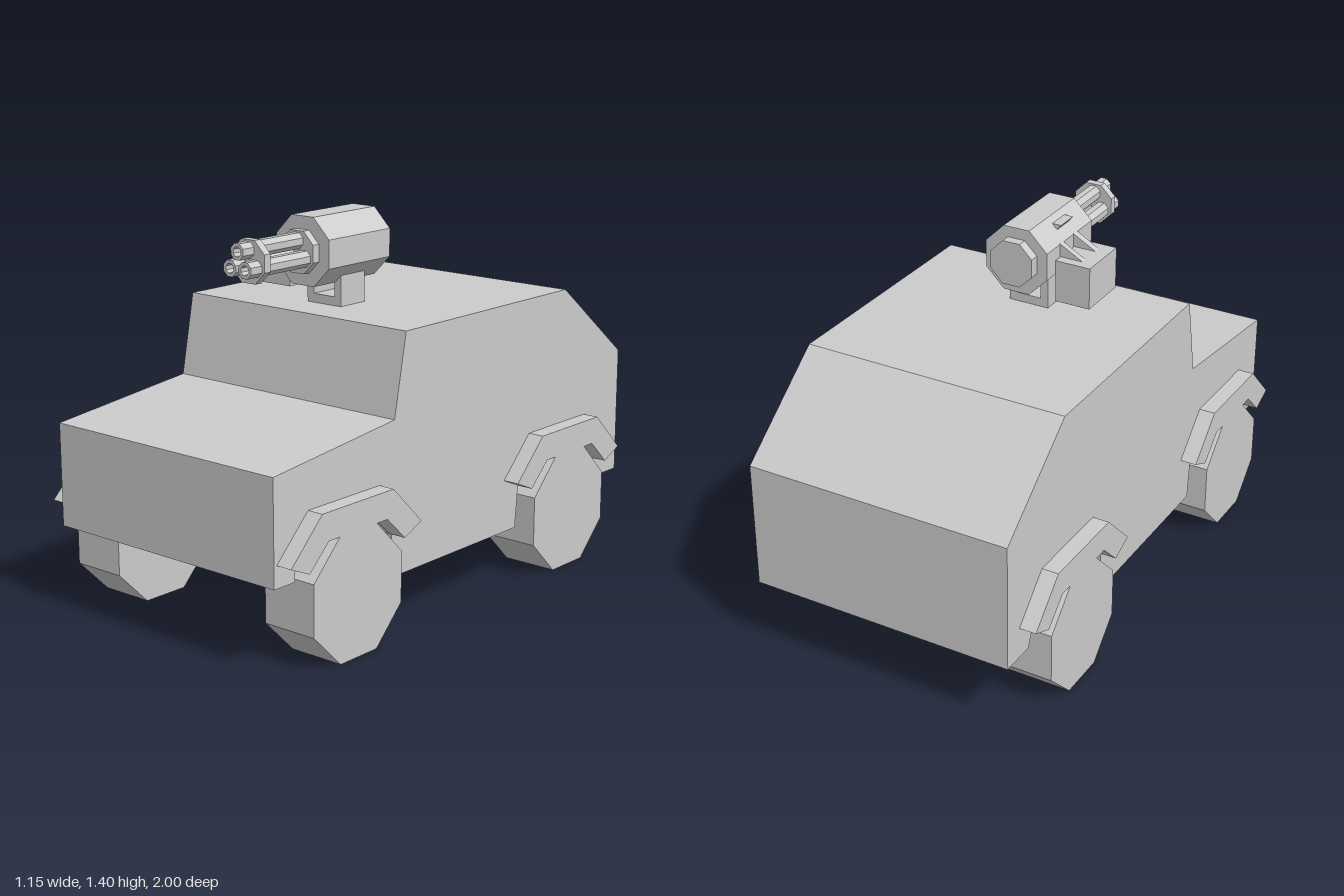
import * as THREE from 'three';

const material = new THREE.MeshStandardMaterial({ color: 0xcccccc, flatShading: true });

function add(parent, name, geometry) {
  const mesh = new THREE.Mesh(geometry, material);
  mesh.name = name;
  parent.add(mesh);
  return mesh;
}

function shapeOf(points) {
  return new THREE.Shape(points.map(([a, b]) => new THREE.Vector2(a, b)));
}

// Side profile given as (z, y), extruded across x from x0 to x1
function sideSlab(points, x0, x1) {
  return new THREE.ExtrudeGeometry(shapeOf(points), { depth: x1 - x0, bevelEnabled: false })
    .rotateY(-Math.PI / 2)
    .translate(x1, 0, 0);
}

// Front profile given as (x, y), extruded along z from z0 to z1
function frontSlab(points, z0, z1, hole) {
  const shape = shapeOf(points);
  if (hole) shape.holes.push(new THREE.Path(hole.map(([a, b]) => new THREE.Vector2(a, b))));
  return new THREE.ExtrudeGeometry(shape, { depth: z1 - z0, bevelEnabled: false }).translate(0, 0, z0);
}

// Octagon with flat top; r is the distance from centre to a flat
function octagon(cx, cy, r) {
  const R = r / Math.cos(Math.PI / 8);
  return Array.from({ length: 8 }, (_, i) => {
    const a = Math.PI / 8 + i * Math.PI / 4;
    return [cx + R * Math.cos(a), cy + R * Math.sin(a)];
  });
}

function box(x0, x1, y0, y1, z0, z1) {
  return new THREE.BoxGeometry(x1 - x0, y1 - y0, z1 - z0)
    .translate((x0 + x1) / 2, (y0 + y1) / 2, (z0 + z1) / 2);
}

export function createModel() {
  const model = new THREE.Group();
  model.name = 'armouredCar';

  // Hull with wheel arches cut through its full width
  add(model, 'hull', sideSlab([
    [1, 0.32], [1, 0.7], [0.39, 0.765], [0.33, 1.065], [-0.62, 1.065], [-1, 0.765],
    [-1, 0.28], [-0.86, 0.28], [-0.83, 0.36], [-0.735, 0.45], [-0.435, 0.45], [-0.34, 0.36],
    [-0.325, 0.2], [0.39, 0.2], [0.405, 0.36], [0.5, 0.45], [0.8, 0.45], [0.9, 0.355], [0.9, 0.32],
  ], -0.512, 0.512));

  // Wheels and fenders
  for (const [end, zc] of [['front', 0.652], ['rear', -0.587]]) {
    for (const [side, s] of [['Left', 1], ['Right', -1]]) {
      const inner = s > 0 ? 0.357 : end === 'front' ? 0.36 : 0.335;
      const span = (a) => (s > 0 ? [a, 0.575] : [-0.575, -a]);
      add(model, `${end}${side}Wheel`, sideSlab(octagon(zc, 0.226, 0.226), ...span(inner)));
      const arch = [
        [0.335, 0.4], [0.182, 0.55], [-0.182, 0.55], [-0.335, 0.4],
        [-0.245, 0.36], [-0.15, 0.45], [0.15, 0.45], [0.245, 0.36],
      ].map(([z, y]) => [z + zc, y]);
      add(model, `${end}${side}Fender`, sideSlab(arch, ...span(0.505)));
    }
  }

  // Roof gun
  const gun = new THREE.Group();
  gun.name = 'roofGun';
  model.add(gun);
  const cy = 1.276;

  // Open bracket holding the gun
  add(gun, 'mount', frontSlab(
    [[-0.08, 1.06], [0.08, 1.06], [0.08, 1.2], [-0.08, 1.2]], 0.04, 0.17,
    [[-0.05, 1.098], [-0.05, 1.153], [0.05, 1.153], [0.05, 1.098]]));

  // Octagonal housing, end cap and barrel plates
  add(gun, 'housing', frontSlab(octagon(0, cy, 0.125), -0.05, 0.285));
  add(gun, 'rearCap', frontSlab(octagon(0, cy, 0.084), -0.088, -0.05));
  add(gun, 'barrelCollar', frontSlab(octagon(0, cy, 0.077), 0.285, 0.315));
  add(gun, 'barrelClamp', frontSlab(octagon(0, cy, 0.077), 0.535, 0.565));

  // Three hollow barrels
  for (let i = 0; i < 3; i++) {
    const a = Math.PI / 2 + i * 2 * Math.PI / 3;
    const x = 0.041 * Math.cos(a), y = cy + 0.041 * Math.sin(a);
    add(gun, 'barrel', frontSlab(octagon(x, y, 0.029), 0.3, 0.62, octagon(x, y, 0.017)));
  }

  // Ammunition box with two sloped supports, and a wedge-shaped sight
  add(gun, 'ammoBox', box(-0.266, -0.128, 1.12, 1.28, 0.008, 0.213));
  for (const [z0, z1] of [[0.046, 0.07], [0.146, 0.174]]) {
    add(gun, 'boxSupport', frontSlab([[-0.225, 1.275], [-0.11, 1.275], [-0.11, 1.338]], z0, z1));
  }
  add(gun, 'sight', frontSlab([[-0.107, 1.382], [-0.08, 1.348], [-0.055, 1.37], [-0.067, 1.382]], 0.085, 0.175));

  return model;
}
